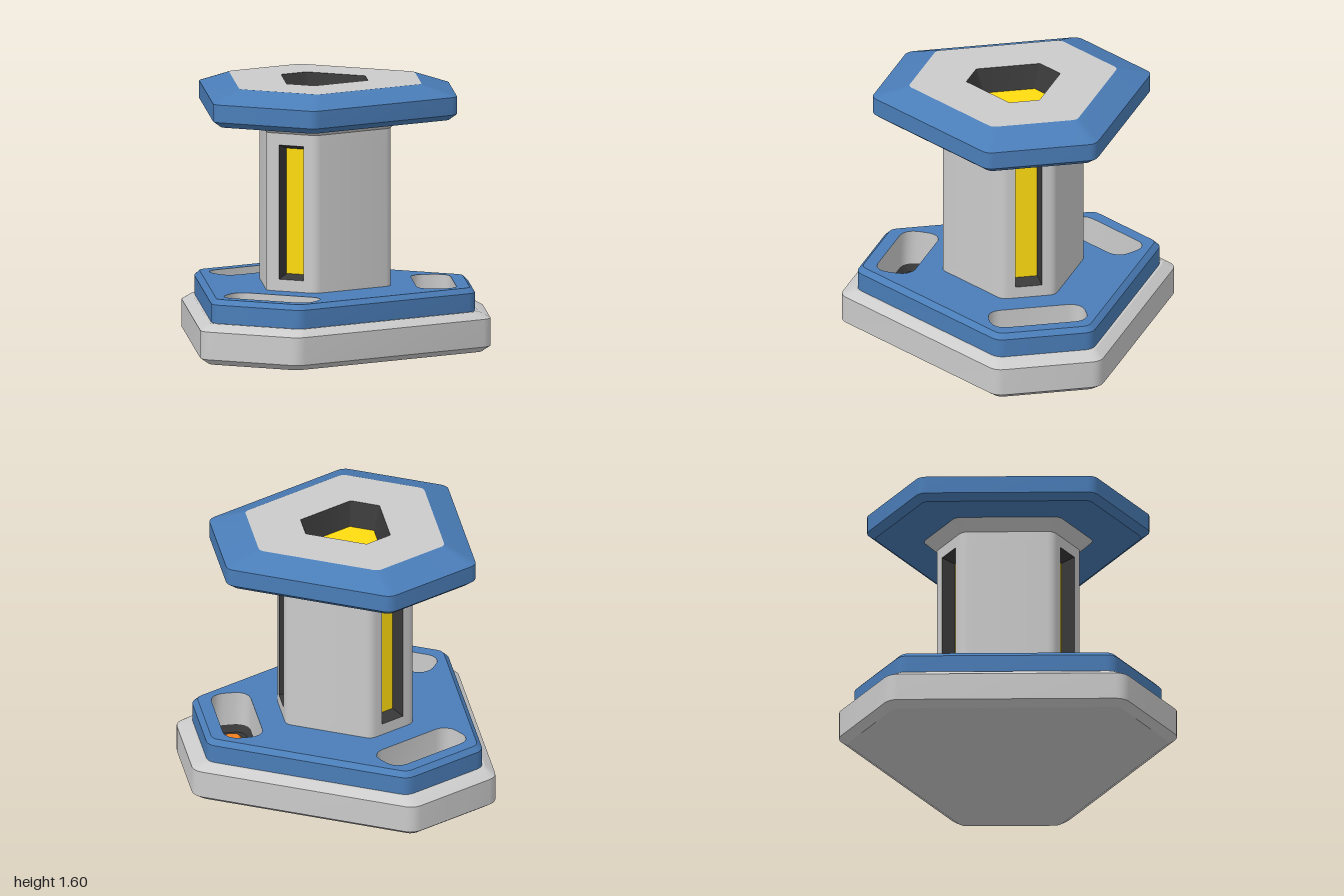
import * as THREE from 'three';
import { toCreasedNormals } from 'three/addons/utils/BufferGeometryUtils.js';

const STEPS = 4;            // segments per rounded corner
const TURN = Math.PI * 2 / 3;
const paint = (color) => new THREE.MeshStandardMaterial({ color });
const grey = paint(0xcccccc);
const blue = paint(0x4a7db8);
const dark = paint(0x383838);
const yellow = paint(0xffdc10);
const orange = paint(0xf08020);

// Turn a plan point about the vertical axis.
const spin = ([x, z], t) => [
  x * Math.cos(t) + z * Math.sin(t),
  z * Math.cos(t) - x * Math.sin(t),
];

// Rounded corner about a centre; angles run from +z towards +x.
function arc(cx, cz, r, from, to) {
  return Array.from({ length: STEPS + 1 }, (_, i) => {
    const t = from + (to - from) * i / STEPS;
    return [cx + r * Math.sin(t), cz + r * Math.cos(t)];
  });
}

// Plan of a triangle with cut, rounded corners: a = distance to the long sides,
// b = distance to the short sides, slot = half-width marked on the short sides.
function hexPlan(a, b, r, slot = 0.04) {
  const cz = b - r;
  const cx = (a - r - cz / 2) / Math.cos(Math.PI / 6);
  const pts = [];
  for (let k = 0; k < 3; k++) {
    const corner = [[-slot, b], [slot, b], ...arc(cx, cz, r, 0, Math.PI / 3)];
    const next = arc(-cx, cz, r, -Math.PI / 3, 0);
    pts.push(...corner.map((p) => spin(p, k * TURN)), ...next.map((p) => spin(p, (k + 1) * TURN)));
  }
  return pts;
}

// Plan of a rounded rectangle centred at depth z.
function rectPlan(w, d, r, z) {
  const x = w / 2 - r, h = d / 2 - r, q = Math.PI / 2;
  return [
    ...arc(x, z + h, r, 0, q), ...arc(x, z - h, r, q, 2 * q),
    ...arc(-x, z - h, r, 2 * q, 3 * q), ...arc(-x, z + h, r, 3 * q, 4 * q),
  ];
}

const lift = (plan, y) => plan.map(([x, z]) => [x, y, z]);
const hexRing = ([a, b, r, y, slot]) => lift(hexPlan(a, b, r, slot), y);

// Skin between consecutive closed rings; skip(band, segment) leaves openings.
function skin(rings, skip = () => false) {
  const pos = [];
  for (let j = 0; j + 1 < rings.length; j++) {
    const A = rings[j], B = rings[j + 1];
    A.forEach((p, i) => {
      if (skip(j, i)) return;
      const n = (i + 1) % A.length;
      pos.push(...p, ...A[n], ...B[n], ...p, ...B[n], ...B[i]);
    });
  }
  const g = new THREE.BufferGeometry();
  g.setAttribute('position', new THREE.Float32BufferAttribute(pos, 3));
  return toCreasedNormals(g, 0.5);
}

// Flat horizontal face, optionally with holes.
function cap(plan, y, holes = [], down = false) {
  const sign = down ? 1 : -1;
  const vec = (pts) => pts.map(([x, z]) => new THREE.Vector2(x, sign * z));
  const shape = new THREE.Shape(vec(plan));
  shape.holes = holes.map((h) => new THREE.Path(vec(h)));
  return new THREE.ShapeGeometry(shape).rotateX(sign * Math.PI / 2).translate(0, y, 0);
}

export function createModel() {
  const model = new THREE.Group();
  const body = new THREE.Group();
  body.name = 'pedestal';
  body.position.z = -0.114;
  model.add(body);
  const add = (name, geometry, material, parent = body) => {
    const mesh = new THREE.Mesh(geometry, material);
    mesh.name = name;
    parent.add(mesh);
    return mesh;
  };

  // Foot: chamfered grey slab
  add('footSlab', skin([
    [0.716, 0.934, 0.06, 0], [0.766, 0.984, 0.09, 0.035],
    [0.766, 0.984, 0.09, 0.2], [0.71, 0.91, 0.07, 0.24], [0.69, 0.888, 0.07, 0.24],
  ].map(hexRing)), grey);
  add('footUnderside', cap(hexPlan(0.716, 0.934, 0.06), 0, [], true), grey);

  // Blue step with three pockets cut in its top
  const pocket = rectPlan(0.58, 0.235, 0.085, 0.67);
  const pockets = [0, 1, 2].map((k) => pocket.map((p) => spin(p, k * TURN)));
  add('stepSide', skin([
    [0.696, 0.894, 0.08, 0.24], [0.696, 0.894, 0.08, 0.35], [0.666, 0.864, 0.06, 0.38],
  ].map(hexRing)), blue);
  add('stepTop', cap(hexPlan(0.666, 0.864, 0.06), 0.38, pockets), blue);

  // Column with three slot openings, flared at the top
  add('column', skin([
    [0.341, 0.404, 0.06, 0.38, 0.08], [0.341, 0.404, 0.06, 0.45, 0.08],
    [0.341, 0.404, 0.06, 1.25, 0.08], [0.341, 0.404, 0.06, 1.32, 0.08],
    [0.406, 0.469, 0.06, 1.385, 0.08],
  ].map(hexRing), (band, i) => band === 1 && i % (2 * STEPS + 4) === 0), grey);

  // Pocket linings and column lights, repeated on the three short sides
  const rect = (w, y0, y1, z) => [[-w, y0, z], [w, y0, z], [w, y1, z], [-w, y1, z]];
  for (let k = 0; k < 3; k++) {
    const side = new THREE.Group();
    side.name = 'side' + (k + 1);
    side.rotation.y = k * TURN;
    body.add(side);
    add('slotFrame', skin([rect(0.08, 0.45, 1.25, 0.404), rect(0.067, 0.475, 1.222, 0.324)]), dark, side);
    add('slotLight', new THREE.PlaneGeometry(0.134, 0.747).translate(0, 0.8485, 0.324), yellow, side);

    add('pocketWall', skin([lift(pocket, 0.38), lift(pocket, 0.17)]), grey, side);
    const floor = rectPlan(0.53, 0.185, 0.06, 0.67);
    add('pocketFloorRim', skin([lift(pocket, 0.17), lift(floor, 0.13)]), dark, side);
    add('pocketFloor', cap(floor, 0.13), dark, side);
    const lamp = rectPlan(0.44, 0.12, 0.05, 0.67);
    const lampTop = rectPlan(0.41, 0.09, 0.035, 0.67);
    add('pocketLampSide', skin([lift(lamp, 0.13), lift(lamp, 0.14), lift(lampTop, 0.155)]), orange, side);
    add('pocketLamp', cap(lampTop, 0.155), orange, side);
  }

  // Table top: blue rim, grey centre, sunken light
  add('tableRim', skin([
    [0.39, 0.45, 0.06, 1.385], [0.631, 0.739, 0.05, 1.385], [0.676, 0.784, 0.07, 1.42],
    [0.676, 0.784, 0.07, 1.525], [0.511, 0.579, 0.05, 1.595],
  ].map(hexRing)), blue);
  add('tableCentre', skin([
    [0.511, 0.579, 0.05, 1.595], [0.216, 0.274, 0.008, 1.597],
  ].map(hexRing)), grey);
  add('tableWell', skin([
    [0.216, 0.274, 0.008, 1.597], [0.176, 0.22, 0.006, 1.455],
  ].map(hexRing)), dark);
  add('tableLight', cap(hexPlan(0.176, 0.22, 0.006), 1.455), yellow);

  return model;
}
